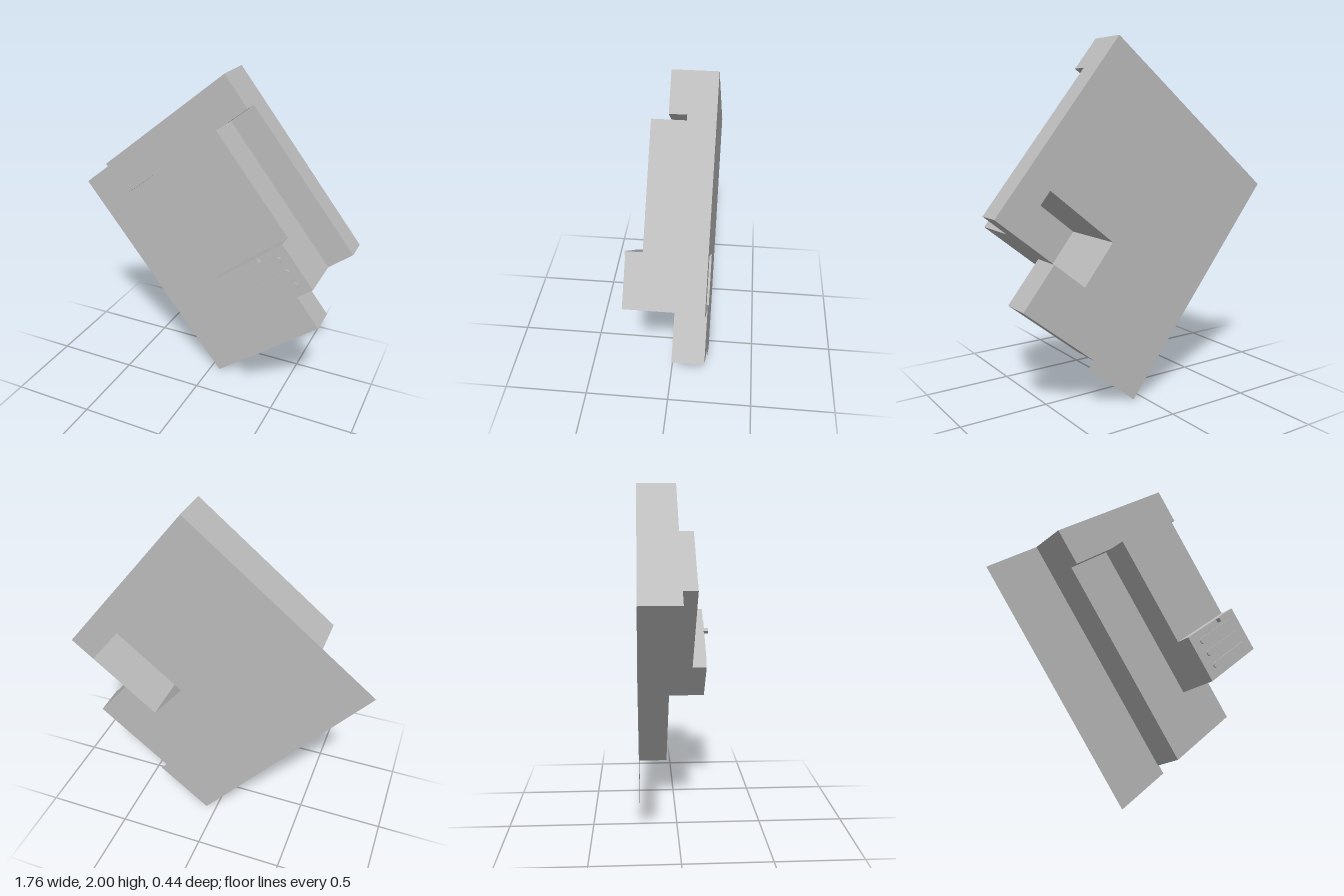
import * as THREE from 'three';

export function createModel() {
  const root = new THREE.Group();
  root.name = 'building';
  const grey = new THREE.MeshStandardMaterial({ color: 0xbcbcbc, side: THREE.DoubleSide });
  grey.name = 'plain grey';

  // All parts sit in a plan frame turned about z
  const plan = new THREE.Group();
  plan.name = 'turnedPlan';
  plan.rotation.z = Math.atan2(0.626, 0.78);
  plan.position.set(0.06, 0, 0);
  root.add(plan);

  const BACK = -0.222;
  const add = (name, geometry) => {
    const mesh = new THREE.Mesh(geometry, grey);
    mesh.name = name;
    plan.add(mesh);
    return mesh;
  };
  const box = (x0, x1, y0, y1, z0, z1) =>
    new THREE.BoxGeometry(x1 - x0, y1 - y0, z1 - z0)
      .translate((x0 + x1) / 2, (y0 + y1) / 2, (z0 + z1) / 2);

  // Flat strip without thickness along one side
  add('groundStrip', new THREE.PlaneGeometry(0.385, 1.497).translate(0.1925, 0.7485, BACK));

  // Building volumes
  add('endWing', box(0.378, 1.325, 1.287, 1.497, BACK, 0.004));
  add('sideWing', box(1.163, 1.325, 0.343, 1.287, BACK, -0.083));
  add('mainHall', box(0.681, 1.163, 0.628, 1.287, BACK, 0.106));

  // Low L-shaped volume that wraps the tower
  const ell = new THREE.Shape([
    [0.378, 0.056], [0.913, 0.056], [0.913, 0.343],
    [0.681, 0.343], [0.681, 1.287], [0.378, 1.287],
  ].map(([x, y]) => new THREE.Vector2(x, y)));
  add('lowWing', new THREE.ExtrudeGeometry(ell, { depth: -0.05 - BACK, bevelEnabled: false })
    .translate(0, 0, BACK));

  // Hollow tower, open at the back (last box face left out)
  const shell = box(0.681, 1.163, 0.343, 0.628, BACK, 0.192);
  shell.setIndex(Array.from(shell.index.array).slice(0, 30));
  shell.clearGroups();
  add('towerShell', shell);

  // Three raised vent bars with rounded ends
  const bar = new THREE.Shape();
  const half = 0.16, r = 0.018;
  bar.moveTo(-half, -r);
  bar.lineTo(half, -r);
  bar.absarc(half, 0, r, -Math.PI / 2, Math.PI / 2);
  bar.lineTo(-half, r);
  bar.absarc(-half, 0, r, Math.PI / 2, Math.PI * 1.5);
  const barGeometry = new THREE.ExtrudeGeometry(bar, { depth: 0.008, bevelEnabled: false, curveSegments: 6 });
  for (const y of [0.406, 0.486, 0.565]) {
    add('ventBar', barGeometry).position.set(0.931, y, 0.192);
  }

  // Small knob near the tower edge
  add('knob', box(0.977, 1.001, 0.602, 0.626, 0.192, 0.22));

  return root;
}
